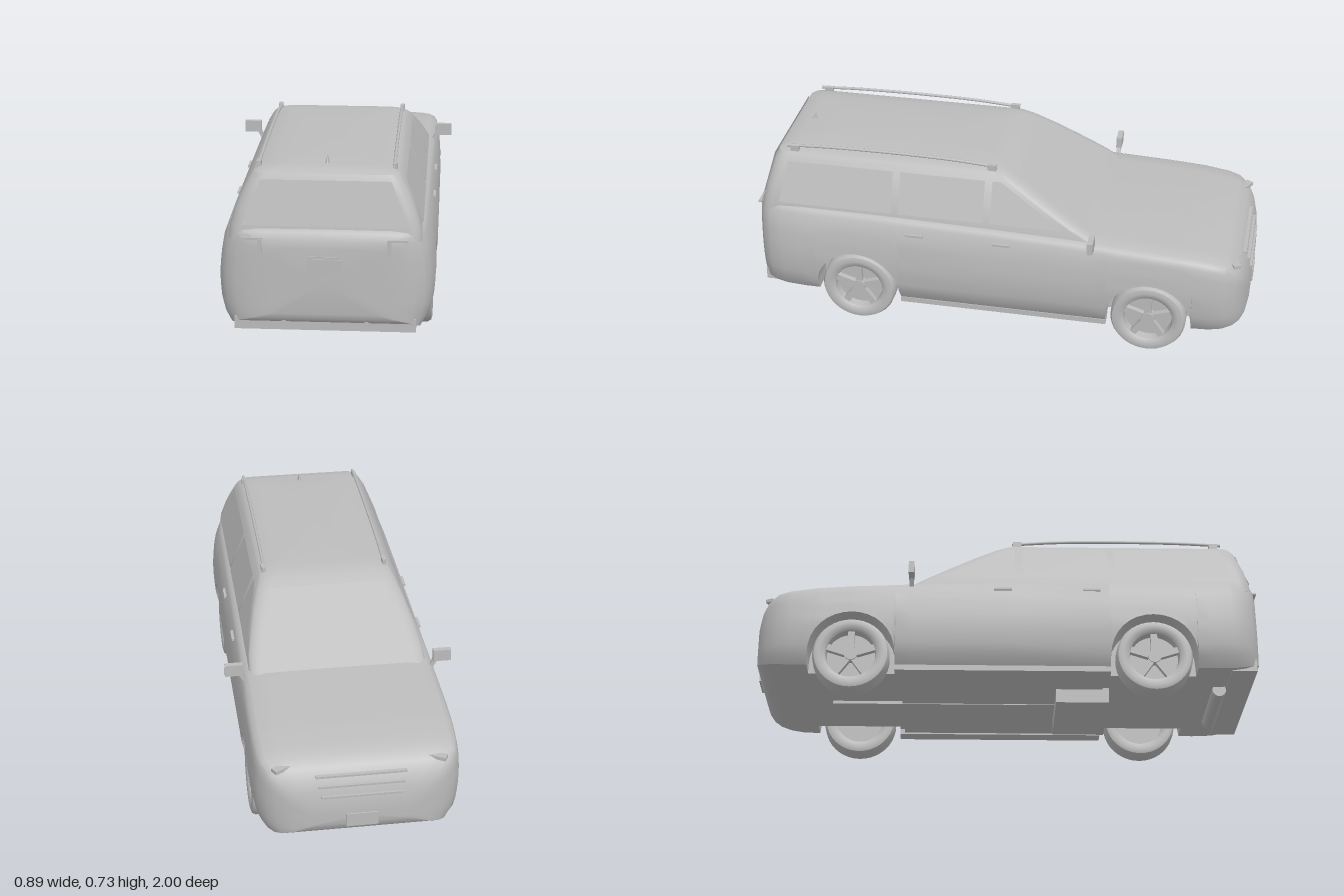
import * as THREE from 'three';
import { toCreasedNormals } from 'three/addons/utils/BufferGeometryUtils.js';

const paint = new THREE.MeshStandardMaterial({ color: 0xbcbcbc, side: THREE.DoubleSide });
paint.name = 'plain grey';

const WHEEL_Z = [0.57, -0.61], ARCH_R = 0.17, AXLE_Y = 0.15;

// piecewise linear lookup: rows of [key, value...]
function lookup(rows, key, col) {
  if (key <= rows[0][0]) return rows[0][col];
  for (let i = 1; i < rows.length; i++) {
    const a = rows[i - 1], b = rows[i];
    if (key <= b[0]) return THREE.MathUtils.lerp(a[col], b[col], (key - a[0]) / (b[0] - a[0]));
  }
  return rows[rows.length - 1][col];
}

// skin closed rings of equal length, capping both ends
function loft(rings, crease) {
  const n = rings[0].length, pos = rings.flat(2), index = [];
  for (let i = 0; i < rings.length - 1; i++) {
    for (let j = 0; j < n; j++) {
      const k = (j + 1) % n, a = i * n + j, b = i * n + k;
      index.push(a, b, b + n, a, b + n, a + n);
    }
  }
  [0, rings.length - 1].forEach((r, end) => {
    const c = pos.length / 3;
    for (let d = 0; d < 3; d++) pos.push(rings[r].reduce((s, p) => s + p[d], 0) / n);
    for (let j = 0; j < n; j++) {
      const a = r * n + j, b = r * n + (j + 1) % n;
      end ? index.push(c, a, b) : index.push(c, b, a);
    }
  });
  const g = new THREE.BufferGeometry();
  g.setAttribute('position', new THREE.Float32BufferAttribute(pos, 3));
  g.setIndex(index);
  return toCreasedNormals(g, crease);
}

// z, half width, top, bottom
const PLAN = [
  [-0.993, 0.19, 0.26, 0.18], [-0.982, 0.265, 0.32, 0.15], [-0.965, 0.315, 0.365, 0.135],
  [-0.94, 0.35, 0.4, 0.125], [-0.9, 0.378, 0.427, 0.118], [-0.85, 0.39, 0.438, 0.112],
  [-0.75, 0.397, 0.45, 0.11], [-0.6, 0.4, 0.46, 0.11], [-0.38, 0.4, 0.472, 0.11],
  [0, 0.4, 0.485, 0.11], [0.5, 0.4, 0.497, 0.11], [0.8, 0.398, 0.5, 0.11],
  [0.88, 0.392, 0.5, 0.112], [0.93, 0.38, 0.5, 0.12], [0.96, 0.36, 0.497, 0.13],
  [0.98, 0.325, 0.485, 0.145], [0.993, 0.27, 0.46, 0.16], [0.997, 0.2, 0.43, 0.18],
];
// height, share of half width
const FLANK = [[0.11, 0.89], [0.15, 0.955], [0.2, 0.985], [0.28, 1], [0.36, 0.985], [0.42, 0.96], [0.46, 0.925], [0.5, 0.86]];

// lower body with the wheel arches cut into its lower edge
function bodyGeometry() {
  const zs = PLAN.map((r) => r[0]);
  for (const c of WHEEL_Z) {
    zs.push(c - ARCH_R - 0.001, c + ARCH_R + 0.001);
    for (let k = 0; k <= 16; k++) zs.push(c - ARCH_R * Math.cos(k * Math.PI / 16));
  }
  zs.sort((a, b) => a - b);
  const rings = zs.map((z) => {
    const w = lookup(PLAN, z, 1), top = lookup(PLAN, z, 2), floor = lookup(PLAN, z, 3);
    let low = floor;
    for (const c of WHEEL_Z) {
      const d = Math.abs(z - c);
      if (d < ARCH_R + 0.0005) low = AXLE_Y + Math.sqrt(Math.max(0, ARCH_R ** 2 - d * d));
    }
    const x = (y) => w * lookup(FLANK, y, 1);
    const inner = Math.min(0.27, x(floor) * 0.9), shoulder = top - 0.035;
    const half = [[0, floor], [inner, floor], [inner, low]];
    for (let k = 0; k <= 8; k++) {
      const y = low + (shoulder - low) * k / 8;
      half.push([x(y), y]);
    }
    const s = x(shoulder);
    half.push([s * 0.975, top - 0.018], [s * 0.92, top - 0.007], [s * 0.75, top - 0.001], [0, top]);
    const mirror = half.slice(1, -1).reverse().map(([px, py]) => [-px, py]);
    return half.concat(mirror).map(([px, py]) => [px, py, z]);
  });
  return loft(rings, 0.65);
}

// cabin: rounded rectangles of [height, half width, hood end z, tail end z, corner radius]
function cabinGeometry() {
  const levels = [
    [0.45, 0.35, -0.42, 0.972, 0.045], [0.5, 0.345, -0.335, 0.965, 0.045], [0.56, 0.326, -0.235, 0.952, 0.045],
    [0.61, 0.306, -0.152, 0.938, 0.045], [0.66, 0.28, -0.068, 0.925, 0.045], [0.684, 0.262, -0.022, 0.912, 0.045],
    [0.695, 0.24, 0.01, 0.89, 0.05], [0.701, 0.19, 0.06, 0.85, 0.06], [0.706, 0.08, 0.2, 0.7, 0.06],
  ];
  return loft(levels.map(([y, hx, z0, z1, r]) => {
    const ring = [];
    for (let q = 0; q < 4; q++) {
      const cx = (q === 0 || q === 3 ? 1 : -1) * (hx - r), cz = q < 2 ? z0 + r : z1 - r;
      for (let k = 0; k <= 5; k++) {
        const a = (q + k / 5) * Math.PI / 2;
        ring.push([cx + r * Math.cos(a), y, cz - r * Math.sin(a)]);
      }
    }
    return ring;
  }), 0.5);
}

export function createModel() {
  const car = new THREE.Group();
  car.name = 'car';
  const add = (name, geo, x = 0, y = 0, z = 0, parent = car) => {
    const m = new THREE.Mesh(geo, paint);
    m.name = name;
    m.position.set(x, y, z);
    parent.add(m);
    return m;
  };
  const box = (name, w, h, d, x, y, z, parent) => add(name, new THREE.BoxGeometry(w, h, d), x, y, z, parent);
  const pane = (name, corners) => {
    const g = new THREE.BufferGeometry();
    g.setAttribute('position', new THREE.Float32BufferAttribute(corners.flat(), 3));
    g.setIndex([0, 1, 2, 0, 2, 3]);
    g.computeVertexNormals();
    return add(name, g);
  };

  add('body', bodyGeometry());
  add('cabin', cabinGeometry());

  // windscreen and tail window
  pane('windscreen', [[0.29, 0.5, -0.341], [-0.29, 0.5, -0.341], [-0.23, 0.665, -0.066], [0.23, 0.665, -0.066]]);
  pane('tailWindow', [[-0.3, 0.505, 0.969], [0.3, 0.505, 0.969], [0.235, 0.665, 0.929], [-0.235, 0.665, 0.929]]);

  // wheels
  const tyre = toCreasedNormals(new THREE.LatheGeometry([
    [0.095, -0.03], [0.105, -0.042], [0.125, -0.0475], [0.142, -0.043], [0.149, -0.03], [0.15, 0],
    [0.149, 0.03], [0.142, 0.043], [0.125, 0.0475], [0.105, 0.042], [0.098, 0.036], [0.094, 0.005], [0.095, -0.03],
  ].map(([r, h]) => new THREE.Vector2(r, h)), 40), 0.7).rotateZ(-Math.PI / 2);
  const disc = (r, h) => new THREE.CylinderGeometry(r, r, h, 32).rotateZ(-Math.PI / 2);
  for (const side of [1, -1]) {
    for (const z of WHEEL_Z) {
      const wheel = new THREE.Group();
      wheel.name = z > 0 ? 'tailWheel' : 'hoodWheel';
      wheel.position.set(side * 0.338, AXLE_Y, z);
      if (side < 0) wheel.rotation.y = Math.PI;
      add('tyre', tyre, 0, 0, 0, wheel);
      add('rimDisc', disc(0.096, 0.03), -0.012, 0, 0, wheel);
      add('hub', disc(0.026, 0.035), 0.02, 0, 0, wheel);
      for (let k = 0; k < 5; k++) {
        const a = k * Math.PI * 2 / 5;
        box('spoke', 0.022, 0.09, 0.026, 0.021, 0.052 * Math.cos(a), 0.052 * Math.sin(a), wheel).rotation.x = a;
      }
      car.add(wheel);
    }

    // side windows
    const glass = (z0, z1, z2, z3) => pane('sideWindow', [
      [side * 0.351, 0.503, z0], [side * 0.351, 0.503, z1], [side * 0.287, 0.66, z2], [side * 0.287, 0.66, z3]]);
    glass(-0.26, 0.03, 0.03, -0.005);
    glass(0.06, 0.4, 0.4, 0.06);
    glass(0.43, 0.89, 0.86, 0.43);

    // door handles, sill and mirrors
    for (const z of [0.33, -0.02]) box('doorHandle', 0.014, 0.009, 0.07, side * 0.382, 0.43, z);
    box('sill', 0.06, 0.022, 0.84, side * 0.33, 0.1, -0.02);
    const mirror = add('mirror', new THREE.CylinderGeometry(0.036, 0.028, 0.022, 4, 1).rotateY(Math.PI / 4), side * 0.41, 0.495, -0.38);
    mirror.geometry = new THREE.BoxGeometry(0.07, 0.048, 0.022);
    const stalk = box('mirrorStalk', 0.016, 0.05, 0.016, side * 0.378, 0.465, -0.38);
    stalk.rotation.z = -side * 0.5;

    // roof rail on two feet
    const rail = new THREE.CatmullRomCurve3([[0.02, 0.703], [0.2, 0.715], [0.45, 0.719], [0.7, 0.716], [0.87, 0.708]]
      .map(([z, y]) => new THREE.Vector3(side * 0.244, y, z)));
    add('roofRail', new THREE.TubeGeometry(rail, 24, 0.006, 8));
    for (const z of [0.04, 0.84]) box('railFoot', 0.016, 0.026, 0.035, side * 0.246, 0.699, z);

    // lamps
    box('tailLampBar', 0.075, 0.008, 0.02, side * 0.262, 0.462, 0.984);
    box('tailLampDrop', 0.016, 0.06, 0.012, side * 0.232, 0.432, 0.991);
    box('headLamp', 0.08, 0.014, 0.03, side * 0.285, 0.402, -0.925).rotation.y = side * 0.5;
    add('reflector', new THREE.CylinderGeometry(0.009, 0.009, 0.012, 12).rotateX(Math.PI / 2), side * 0.15, 0.142, 0.978);
  }

  // tail: number plate, bumper beam, muffler
  box('tailPlate', 0.13, 0.066, 0.008, 0, 0.357, 0.996);
  box('plateLampHood', 0.11, 0.009, 0.012, 0, 0.396, 0.994);
  box('bumperBeam', 0.66, 0.05, 0.1, 0, 0.134, 0.925);
  add('muffler', new THREE.CylinderGeometry(0.027, 0.027, 0.34, 24).rotateZ(Math.PI / 2), 0, 0.098, 0.845);

  // nose: grille frame, bars and plate
  for (const [y, z, w] of [[0.375, -0.961, 0.34], [0.34, -0.976, 0.32], [0.3, -0.986, 0.3]]) box('grilleBar', w, 0.008, 0.016, 0, y, z);
  box('nosePlate', 0.12, 0.055, 0.008, 0, 0.195, -0.994);

  // underside: tank, floor and drive tunnel
  box('underTank', 0.34, 0.062, 0.21, 0, 0.07, 0.3);
  box('floorPan', 0.6, 0.02, 0.8, 0, 0.105, -0.02);
  box('driveTunnel', 0.03, 0.012, 1.1, 0, 0.098, -0.15);

  // roof fin
  const fin = new THREE.ConeGeometry(0.02, 0.03, 16);
  fin.scale(0.4, 1, 1.2);
  add('roofFin', fin, 0, 0.715, 0.82);
  return car;
}
